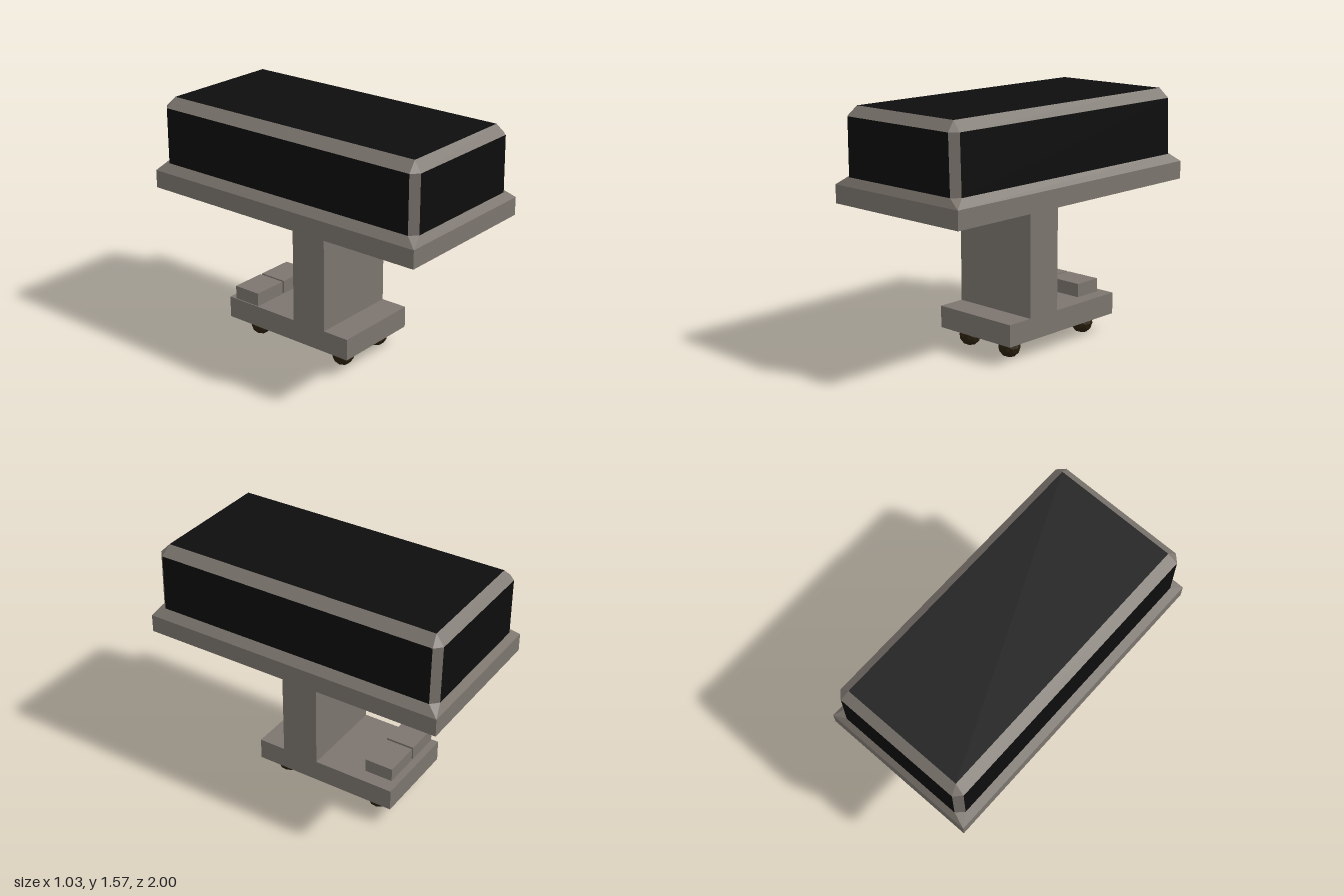
import * as THREE from 'three';

const grey = new THREE.MeshStandardMaterial({ color: 0x7d766f });
grey.name = 'warm grey casing';
const black = new THREE.MeshStandardMaterial({ color: 0x0d0d0d });
black.name = 'black panel';
const brown = new THREE.MeshStandardMaterial({ color: 0x2b200d, flatShading: true });
brown.name = 'dark brown caster';

// Rectangle ring with corners cut by c, counter-clockwise seen from above
function ring(y, xl, xr, z, c) {
  return [
    [xr - c, z], [xr, z - c], [xr, c - z], [xr - c, -z],
    [xl + c, -z], [xl, c - z], [xl, z - c], [xl + c, z],
  ].map(([x, d]) => new THREE.Vector3(x, y, d));
}

// Flat-faced mesh from a list of polygons, each a convex fan
function facesMesh(name, polygons, material) {
  const points = [];
  for (const p of polygons) {
    for (let i = 1; i < p.length - 1; i++) {
      const [a, b, c] = [p[0], p[i], p[i + 1]];
      if (a.equals(b) || b.equals(c) || a.equals(c)) continue;
      points.push(a, b, c);
    }
  }
  const geometry = new THREE.BufferGeometry().setFromPoints(points);
  geometry.computeVertexNormals();
  const mesh = new THREE.Mesh(geometry, material);
  mesh.name = name;
  return mesh;
}

// Box given by its limits
function box(name, x0, x1, y0, y1, z0, z1) {
  const mesh = new THREE.Mesh(new THREE.BoxGeometry(x1 - x0, y1 - y0, z1 - z0), grey);
  mesh.position.set((x0 + x1) / 2, (y0 + y1) / 2, (z0 + z1) / 2);
  mesh.name = name;
  return mesh;
}

export function createModel() {
  const model = new THREE.Group();
  model.name = 'panelledTable';

  // Upper body: plinth, sloped ledge, panelled walls, bevelled top rim
  const rings = [
    ring(0.985, -0.516, 0.516, 1, 0),
    ring(1.1, -0.516, 0.516, 1, 0),
    ring(1.15, -0.47, 0.47, 0.97, 0.045),
    ring(1.51, -0.47, 0.46, 0.97, 0.045),
    ring(1.57, -0.405, 0.4, 0.913, 0),
  ];
  const casing = [[...rings[0]].reverse()];
  const panels = [rings[4]];
  for (let k = 0; k < 4; k++) {
    for (let i = 0; i < 8; i++) {
      const j = (i + 1) % 8;
      const quad = [rings[k][i], rings[k][j], rings[k + 1][j], rings[k + 1][i]];
      (k === 2 && i % 2 === 1 ? panels : casing).push(quad);
    }
  }
  const body = new THREE.Group();
  body.name = 'tableTop';
  body.add(facesMesh('casing', casing, grey), facesMesh('blackPanels', panels, black));
  model.add(body);

  // Pedestal and foot
  model.add(box('column', -0.297, 0.297, 0.26, 0.985, -0.06, 0.185));
  model.add(box('base', -0.297, 0.297, 0.12, 0.26, -0.6, 0.365));

  // Pair of foot pedals at the back
  model.add(box('pedal', -0.29, -0.055, 0.26, 0.348, -0.553, -0.364));
  model.add(box('pedal', -0.04, 0.205, 0.26, 0.348, -0.553, -0.364));

  // Ball casters
  const ball = new THREE.IcosahedronGeometry(0.07, 1);
  for (const x of [-0.17, 0.17]) {
    for (const z of [0.235, -0.445]) {
      const caster = new THREE.Mesh(ball, brown);
      caster.name = 'caster';
      caster.position.set(x, 0.07, z);
      model.add(caster);
    }
  }
  return model;
}
